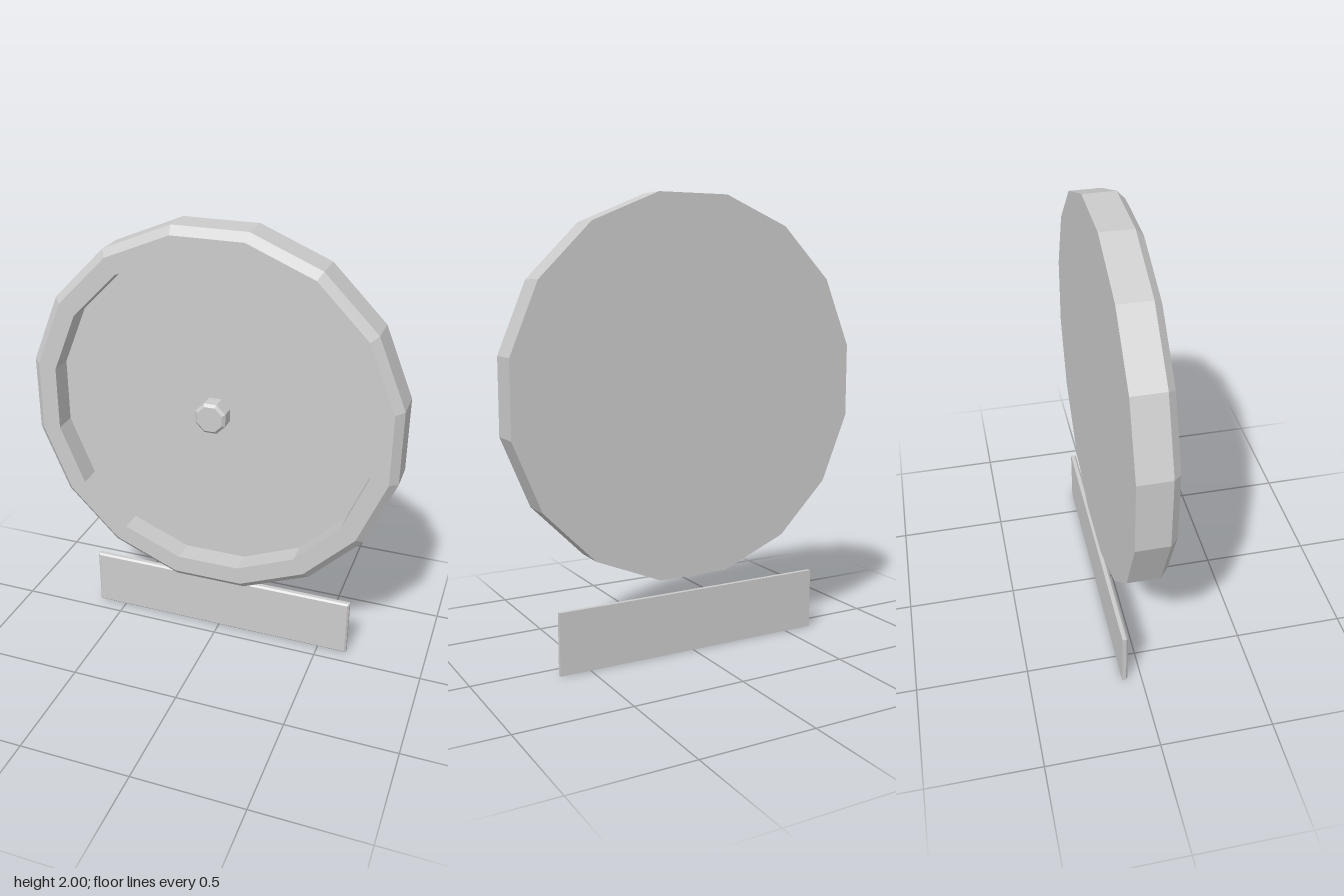
import * as THREE from 'three';

const CENTER_Y = 1.1725;

// Faceted solid turned round the z axis; profile is [apothem, z] from back to front
function turned(name, profile, sides, material) {
  const k = 1 / Math.cos(Math.PI / sides);
  const points = profile.map(([r, z]) => new THREE.Vector2(r * k, z));
  const lathe = new THREE.LatheGeometry(points, sides, Math.PI / sides);
  lathe.rotateX(Math.PI / 2);
  const geometry = lathe.toNonIndexed();
  geometry.computeVertexNormals();
  const mesh = new THREE.Mesh(geometry, material);
  mesh.name = name;
  mesh.position.y = CENTER_Y;
  return mesh;
}

// Thin plate whose front edges are chamfered
function chamferedPlate(name, w, h, d, bevel, material) {
  const box = new THREE.BoxGeometry(w, h, d, 1, 1, 2);
  const p = box.attributes.position;
  for (let i = 0; i < p.count; i++) {
    const z = p.getZ(i);
    if (Math.abs(z) < 1e-6) {
      p.setZ(i, d / 2 - bevel);
    } else if (z > 0) {
      p.setX(i, p.getX(i) - Math.sign(p.getX(i)) * bevel);
      p.setY(i, p.getY(i) - Math.sign(p.getY(i)) * bevel);
    }
  }
  const geometry = box.toNonIndexed();
  geometry.computeVertexNormals();
  const mesh = new THREE.Mesh(geometry, material);
  mesh.name = name;
  return mesh;
}

export function createModel() {
  const grey = new THREE.MeshStandardMaterial({ color: 0xcccccc, flatShading: true });
  grey.name = 'light grey';

  const model = new THREE.Group();
  model.name = 'dialAndPlate';

  // Round case: flat back, bevelled rim and recessed face
  model.add(turned('dialCase', [
    [0, -0.088], [0.8275, -0.088], [0.8275, 0.054], [0.793, 0.088],
    [0.713, 0.088], [0.713, -0.016], [0, -0.016],
  ], 16, grey));

  // Central hub standing on the recessed face
  model.add(turned('hub', [
    [0.068, -0.016], [0.068, 0.048], [0.056, 0.06], [0, 0.06],
  ], 8, grey));

  // Name plate below the dial
  const plate = chamferedPlate('lowerPlate', 1.276, 0.275, 0.026, 0.008, grey);
  plate.position.set(0, 0.1375, -0.075);
  model.add(plate);

  return model;
}
